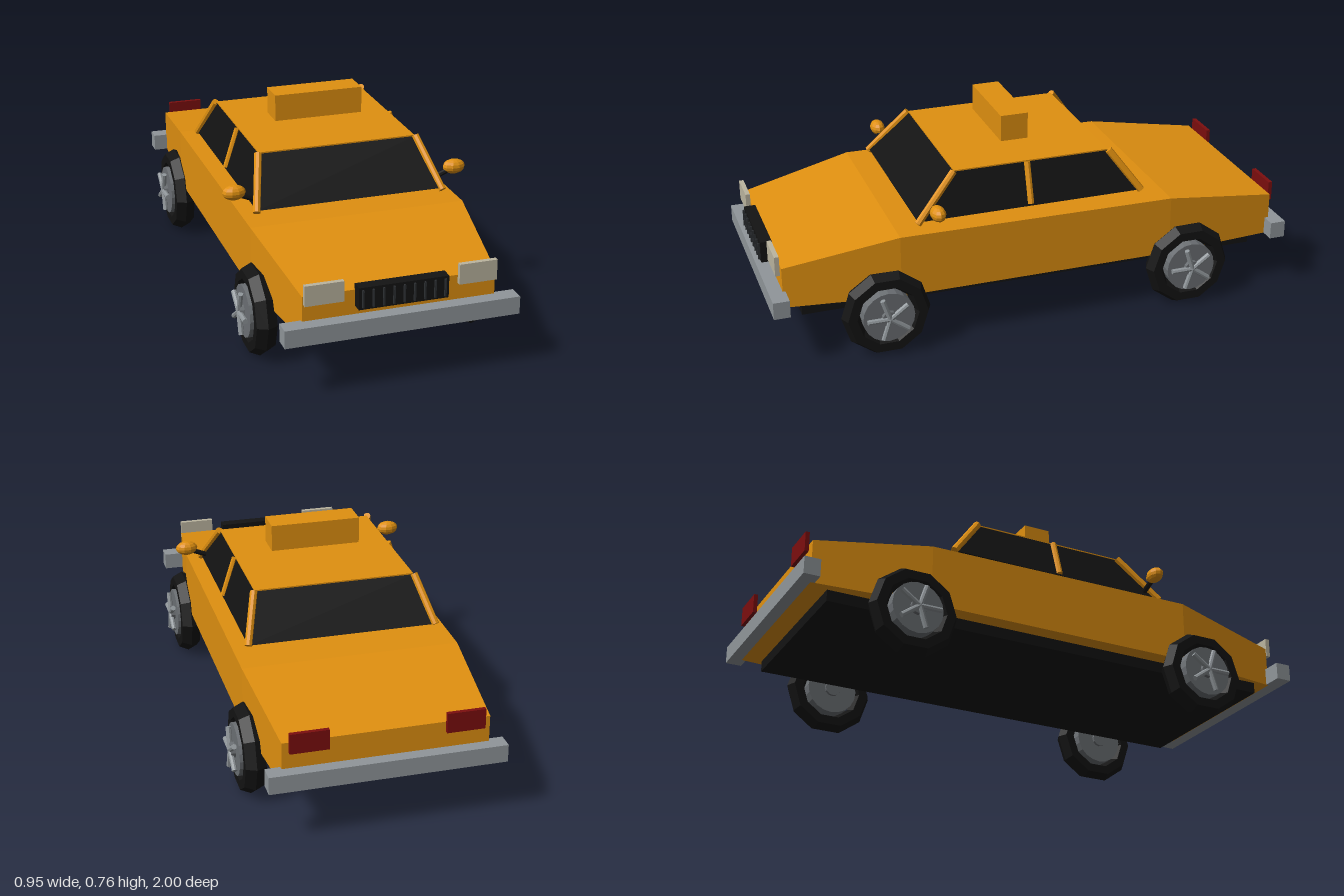
import * as THREE from 'three';
import { ConvexGeometry } from 'three/addons/geometries/ConvexGeometry.js';

const mat = (name, color) => {
  const m = new THREE.MeshStandardMaterial({ color, flatShading: true });
  m.name = name;
  return m;
};

export function createModel() {
  const car = new THREE.Group();
  car.name = 'taxi';
  const paint = mat('orange paint', 0xe09010);
  const black = mat('black', 0x131313);
  const chrome = mat('chrome grey', 0x90969a);
  const rimGrey = mat('rim grey', 0x6c7074);
  const lamp = mat('headlight glass', 0xbcb5a0);
  const red = mat('tail light red', 0x7c0e0e);
  const barGrey = mat('grille bar grey', 0x2c2f32);

  const add = (name, geometry, material, parent = car) => {
    const m = new THREE.Mesh(geometry, material);
    m.name = name;
    parent.add(m);
    return m;
  };

  // Box given by its lower and upper corners
  const box = (name, material, [x0, y0, z0], [x1, y1, z1]) => {
    const m = add(name, new THREE.BoxGeometry(x1 - x0, y1 - y0, z1 - z0), material);
    m.position.set((x0 + x1) / 2, (y0 + y1) / 2, (z0 + z1) / 2);
    return m;
  };

  // Round bar between two points
  const rod = (name, material, a, b, r, parent = car, sides = 8) => {
    const p = new THREE.Vector3(...a), q = new THREE.Vector3(...b);
    const dir = q.clone().sub(p);
    const m = add(name, new THREE.CylinderGeometry(r, r, dir.length(), sides), material, parent);
    m.position.copy(p).add(q).multiplyScalar(0.5);
    m.quaternion.setFromUnitVectors(new THREE.Vector3(0, 1, 0), dir.normalize());
    return m;
  };

  // Convex solid from symmetric corner pairs [half width, y, z]
  const hull = (name, material, corners) => {
    const pts = corners.flatMap(([x, y, z]) => [new THREE.Vector3(x, y, z), new THREE.Vector3(-x, y, z)]);
    return add(name, new ConvexGeometry(pts), material);
  };

  // Body shell, tapering to nose and tail
  hull('body', paint, [
    [0.345, 0.21, 0.95], [0.345, 0.365, 0.95],
    [0.4, 0.21, 0.53], [0.4, 0.445, 0.53],
    [0.4, 0.21, -0.52], [0.4, 0.437, -0.52],
    [0.365, 0.21, -0.955], [0.365, 0.372, -0.955],
  ]);
  box('chassis', black, [-0.34, 0.167, -0.885], [0.34, 0.209, 0.885]);

  // Glazed cabin with a painted roof
  hull('windows', black, [
    [0.352, 0.47, 0.45], [0.352, 0.47, -0.415],
    [0.3, 0.625, 0.298], [0.3, 0.625, -0.298],
  ]);
  box('roof', paint, [-0.3, 0.625, -0.298], [0.3, 0.63, 0.298]);
  box('roofSign', paint, [-0.17, 0.66, -0.03], [0.17, 0.76, 0.075]);

  // Bumpers
  box('frontBumper', chrome, [-0.42, 0.21, 0.94], [0.42, 0.275, 1]);
  box('rearBumper', chrome, [-0.42, 0.21, -1], [0.42, 0.275, -0.94]);

  // Grille
  box('grille', black, [-0.16, 0.306, 0.945], [0.16, 0.386, 0.988]);
  for (let i = -4; i <= 4; i++) {
    const x = i * 0.0365;
    box('grilleBar', barGrey, [x - 0.003, 0.314, 0.985], [x + 0.003, 0.378, 0.996]);
  }

  for (const s of [1, -1]) {
    // Lights
    const l = Math.min(s * 0.205, s * 0.342), r = Math.max(s * 0.205, s * 0.342);
    box('headlight', lamp, [l, 0.338, 0.955], [r, 0.412, 0.972]);
    box('tailLight', red, [l, 0.338, -0.975], [r, 0.412, -0.96]);

    // Roof pillars
    rod('frontPillar', paint, [s * 0.354, 0.464, 0.452], [s * 0.303, 0.628, 0.3], 0.014);
    rod('middlePillar', paint, [s * 0.35, 0.478, 0.02], [s * 0.303, 0.626, 0.02], 0.012);
    rod('rearPillar', paint, [s * 0.352, 0.47, -0.415], [s * 0.303, 0.628, -0.3], 0.014);

    // Door mirror
    rod('mirrorArm', black, [s * 0.335, 0.49, 0.395], [s * 0.41, 0.52, 0.395], 0.01);
    const mirror = add('mirror', new THREE.SphereGeometry(0.028, 10, 8), paint);
    mirror.scale.x = 1.55;
    mirror.position.set(s * 0.42, 0.528, 0.395);

    // Wheels
    for (const z of [0.592, -0.592]) {
      const wheel = new THREE.Group();
      wheel.name = z > 0 ? 'frontWheel' : 'rearWheel';
      wheel.position.set(s * 0.403, 0.16, z);
      car.add(wheel);
      const tyre = add('tyre', new THREE.TorusGeometry(0.132, 0.034, 6, 10), black, wheel);
      tyre.rotation.y = Math.PI / 2;
      tyre.scale.z = 1.27;
      rod('rim', rimGrey, [-s * 0.045, 0, 0], [s * 0.046, 0, 0], 0.096, wheel, 20);
      rod('hub', rimGrey, [-s * 0.056, 0, 0], [s * 0.062, 0, 0], 0.03, wheel, 12);
      // Five spokes
      for (let i = 0; i < 5; i++) {
        const a = (i / 5) * Math.PI * 2;
        rod('spoke', chrome, [s * 0.06, 0, 0], [s * 0.06, Math.sin(a) * 0.083, Math.cos(a) * 0.083], 0.01, wheel);
      }
    }
  }
  return car;
}
